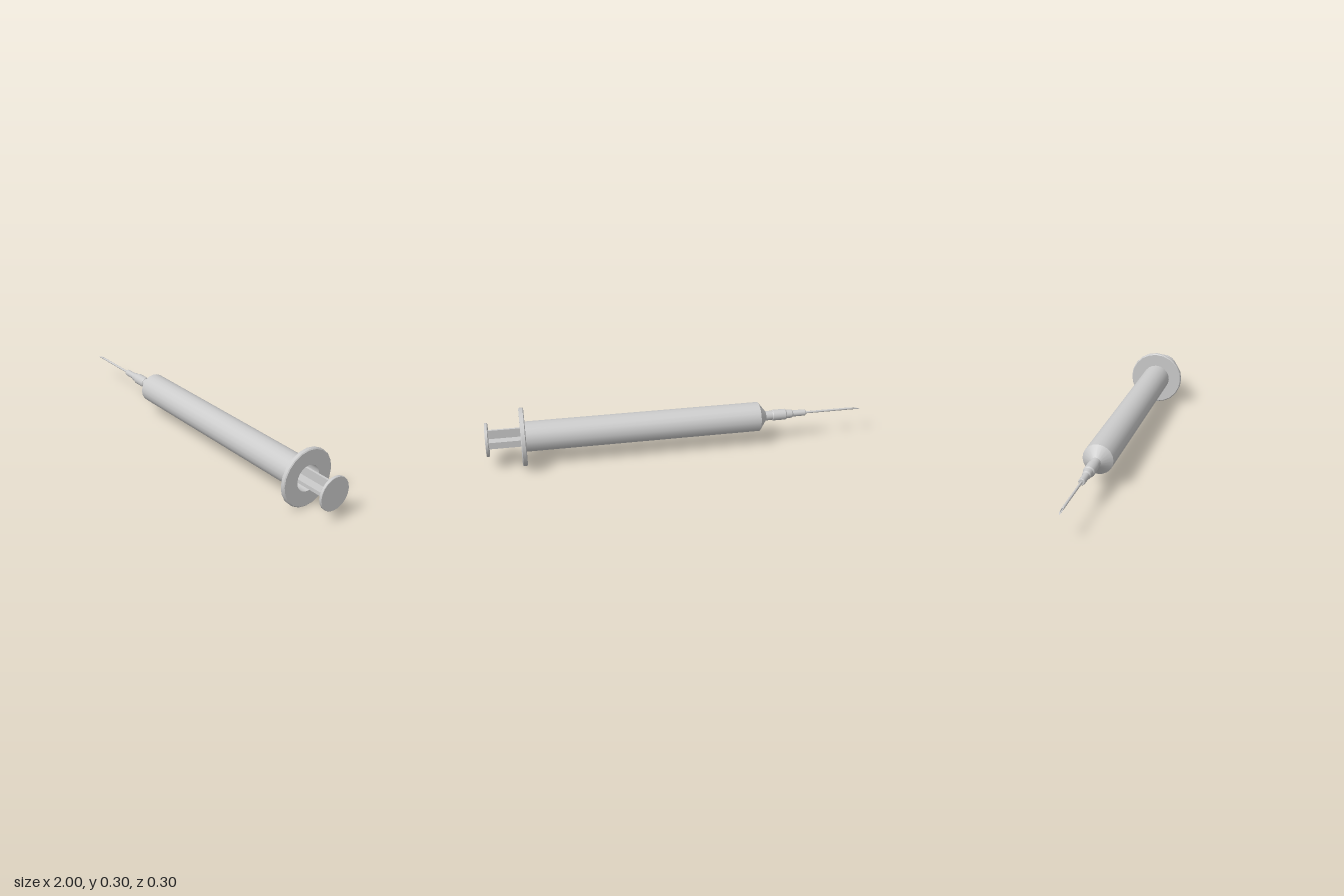
import * as THREE from 'three';
import { mergeGeometries } from 'three/addons/utils/BufferGeometryUtils.js';

const AXIS_Y = 0.15;
const grey = new THREE.MeshStandardMaterial({ color: 0xcccccc });

// Turned solid along x: profile points are [x, radius]; every profile corner stays sharp.
function turned(profile, sides = 20) {
  const bands = [];
  for (let i = 0; i < profile.length - 1; i++) {
    const ends = [profile[i], profile[i + 1]].map(([x, r]) => new THREE.Vector2(r, x));
    bands.push(new THREE.LatheGeometry(ends, sides));
  }
  return mergeGeometries(bands).rotateZ(-Math.PI / 2);
}

export function createModel() {
  const model = new THREE.Group();
  const add = (name, geometry, parent = model) => {
    const mesh = new THREE.Mesh(geometry, grey);
    mesh.name = name;
    parent.add(mesh);
    return mesh;
  };
  const body = new THREE.Group();
  body.name = 'syringe';
  body.position.y = AXIS_Y;
  model.add(body);

  // Hollow barrel with conical shoulder and nozzle
  add('barrel', turned([
    [-0.52, 0], [-0.52, 0.024], [-0.463, 0.026], [-0.423, 0.078], [0.805, 0.078],
    [0.805, 0.068], [-0.42, 0.068], [-0.45, 0.012], [-0.45, 0],
  ]), body);

  // Finger flange: ring with softened rim
  add('fingerFlange', turned([
    [0.8, 0.068], [0.8, 0.145], [0.804, 0.15], [0.821, 0.15],
    [0.825, 0.145], [0.825, 0.068], [0.8, 0.068],
  ]), body);

  // Stepped needle hub
  add('needleHub', turned([
    [-0.686, 0], [-0.686, 0.014], [-0.682, 0.017], [-0.615, 0.017], [-0.608, 0.022],
    [-0.578, 0.024], [-0.572, 0.029], [-0.505, 0.029], [-0.5, 0.026], [-0.5, 0],
  ]), body);

  // Hollow needle, its tip sheared into a bevel that points low
  const r = 0.006;
  const needle = turned([
    [-0.67, 0.0035], [-1, 0.0035], [-1, r], [-0.67, r],
  ], 12);
  const p = needle.attributes.position;
  for (let i = 0; i < p.count; i++) {
    if (p.getX(i) < -0.9) p.setX(i, -1 + 0.06 * (p.getY(i) + r) / (2 * r));
  }
  needle.computeVertexNormals();
  add('needle', needle, body);

  // Plunger: cross-shaped rod, thumb disc and piston
  const plunger = new THREE.Group();
  plunger.name = 'plunger';
  body.add(plunger);
  const rodStart = -0.36, rodEnd = 0.987;
  for (const [name, h, d] of [['uprightRib', 0.104, 0.012], ['flatRib', 0.012, 0.104]]) {
    const rib = add(name, new THREE.BoxGeometry(rodEnd - rodStart, h, d), plunger);
    rib.position.x = (rodStart + rodEnd) / 2;
  }
  add('thumbDisc', turned([
    [0.985, 0], [0.985, 0.085], [0.987, 0.087], [0.998, 0.087], [1, 0.085], [1, 0],
  ]), plunger);
  add('piston', turned([
    [-0.44, 0], [-0.415, 0.066], [-0.36, 0.066], [-0.36, 0],
  ]), plunger);

  return model;
}
